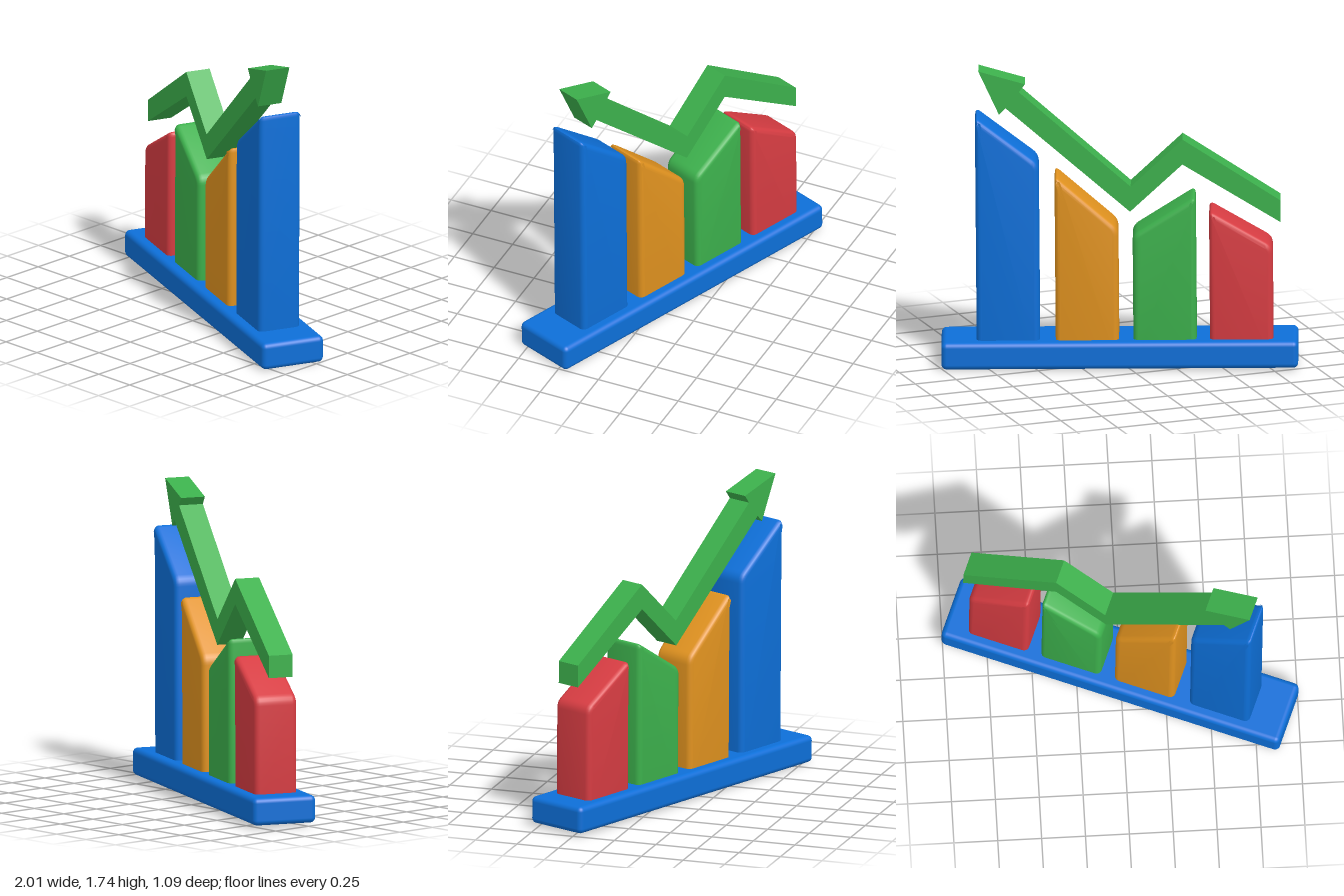
import * as THREE from 'three';
import { toCreasedNormals } from 'three/addons/utils/BufferGeometryUtils.js';
import { RoundedBoxGeometry } from 'three/addons/geometries/RoundedBoxGeometry.js';

const mat = (color) => new THREE.MeshStandardMaterial({ color });
const RED = mat(0xd63c42), GREEN = mat(0x3cb04c), BLUE = mat(0x0d6fd8), ORANGE = mat(0xe0921f);

// Closed outline with each corner softened by distance c
function softOutline(points, c) {
  const p = points.map(([x, y]) => new THREE.Vector2(x, y));
  const n = p.length;
  const toward = (a, b) => a.clone().add(b.clone().sub(a).setLength(c));
  const shape = new THREE.Shape();
  p.forEach((corner, i) => {
    const a = toward(corner, p[(i + n - 1) % n]);
    const b = toward(corner, p[(i + 1) % n]);
    if (i === 0) shape.moveTo(a.x, a.y);
    else shape.lineTo(a.x, a.y);
    shape.quadraticCurveTo(corner.x, corner.y, b.x, b.y);
  });
  shape.closePath();
  return shape;
}

// Chart bar with a slanted top and rounded edges
function bar(name, material, x, left, right) {
  const w = 0.18, depth = 0.255, r = 0.03;
  const shape = softOutline([[x - w, 0.06], [x + w, 0.06], [x + w, right], [x - w, left]], 0.04);
  const geo = new THREE.ExtrudeGeometry(shape, {
    depth: depth - 2 * r, curveSegments: 5,
    bevelEnabled: true, bevelThickness: r, bevelSize: r, bevelOffset: -r, bevelSegments: 4,
  });
  geo.translate(0, 0, r - depth / 2);
  const mesh = new THREE.Mesh(toCreasedNormals(geo, 0.65), material);
  mesh.name = name;
  return mesh;
}

export function createModel() {
  const model = new THREE.Group();
  model.name = 'barChart';

  // Base slab
  const base = new THREE.Mesh(new RoundedBoxGeometry(2.03, 0.158, 0.38, 4, 0.03), BLUE);
  base.position.y = 0.089;
  base.name = 'base';
  model.add(base);

  // Four bars
  model.add(
    bar('redBar', RED, -0.694, 0.715, 0.927),
    bar('greenBar', GREEN, -0.258, 1.012, 0.785),
    bar('orangeBar', ORANGE, 0.184, 0.822, 1.138),
    bar('blueBar', BLUE, 0.634, 1.208, 1.486),
  );

  // Zigzag trend arrow, sharp-edged
  const outline = [
    [-0.92, 0.843], [-0.364, 1.187], [-0.064, 0.909], [0.639, 1.525], [0.677, 1.487],
    [0.793, 1.744], [0.528, 1.667], [0.563, 1.62], [-0.069, 1.057], [-0.366, 1.334], [-0.92, 0.972],
  ].map(([x, y]) => new THREE.Vector2(x, y));
  const arrowGeo = new THREE.ExtrudeGeometry(new THREE.Shape(outline), { depth: 0.144, bevelEnabled: false });
  arrowGeo.translate(0, 0, -0.062);
  const arrow = new THREE.Mesh(arrowGeo, GREEN);
  arrow.name = 'trendArrow';
  model.add(arrow);

  // Whole chart is turned and leans very slightly
  model.rotation.set(0, -0.379, -0.008);
  const group = new THREE.Group();
  group.name = 'chart';
  group.add(model);
  return group;
}
